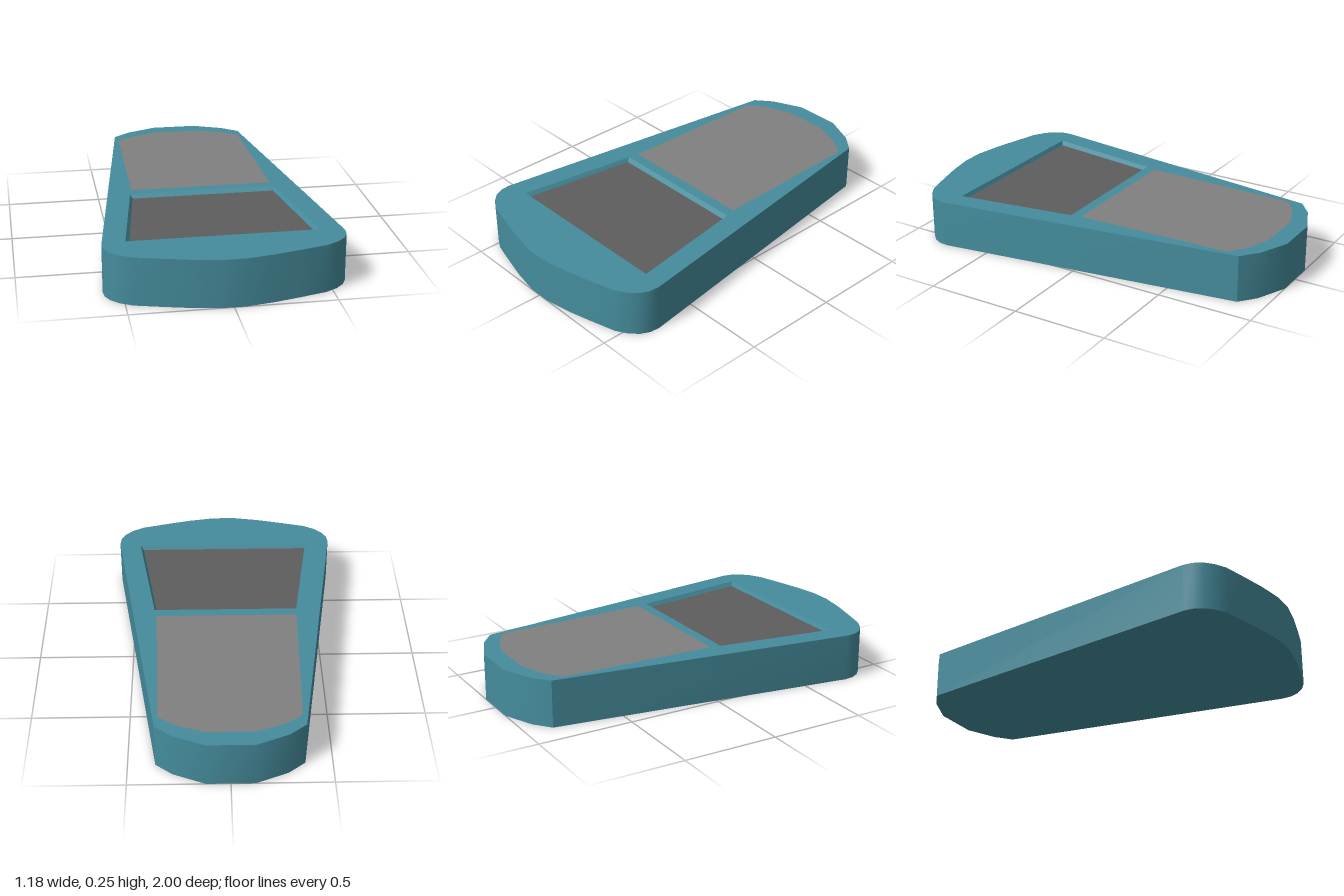
import * as THREE from 'three';
import { toCreasedNormals } from 'three/addons/utils/BufferGeometryUtils.js';

// Mirrors a right-hand half outline of [x, z] points (front to back) into a closed ring
function ring(half) {
  return [...half, ...half.map(([x, z]) => [-x, z]).reverse()];
}

// Band of quads between two rings at heights y0 and y1
function band(r0, y0, r1, y1) {
  const pos = [];
  r0.forEach((p, i) => {
    const j = (i + 1) % r0.length;
    const a = [p[0], y0, p[1]], b = [r0[j][0], y0, r0[j][1]];
    const c = [r1[j][0], y1, r1[j][1]], d = [r1[i][0], y1, r1[i][1]];
    pos.push(...a, ...b, ...c, ...a, ...c, ...d);
  });
  const g = new THREE.BufferGeometry();
  g.setAttribute('position', new THREE.Float32BufferAttribute(pos, 3));
  return toCreasedNormals(g, 0.6);
}

// Flat face at height y, facing up or down, with optional holes
function face(outline, y, holes = [], up = true) {
  const pts = r => r.map(([x, z]) => new THREE.Vector2(x, up ? -z : z));
  const shape = new THREE.Shape(pts(outline));
  shape.holes = holes.map(h => new THREE.Path(pts(h)));
  return new THREE.ShapeGeometry(shape).rotateX(up ? -Math.PI / 2 : Math.PI / 2).translate(0, y, 0);
}

export function createModel() {
  const group = new THREE.Group();
  const teal = new THREE.MeshStandardMaterial({ color: 0x458c9c });
  const grey = new THREE.MeshStandardMaterial({ color: 0x808080 });
  const dark = new THREE.MeshStandardMaterial({ color: 0x5e5e5e });
  const add = (name, geometry, material) => {
    const mesh = new THREE.Mesh(geometry, material);
    mesh.name = name;
    group.add(mesh);
  };

  const H = 0.245, floorY = 0.225;
  const body = ring([
    [0.06, 1], [0.2, 0.975], [0.33, 0.942], [0.465, 0.905], [0.525, 0.87], [0.565, 0.83],
    [0.587, 0.785], [0.592, 0.735], [0.365, -0.86], [0.28, -0.93], [0.12, -1],
  ]);
  const panel = ring([[0.37, 0.03], [0.35, -0.79], [0.26, -0.855], [0.12, -0.905]]);
  const recessTop = ring([[0.475, 0.71], [0.382, 0.085]]);
  const recessFloor = ring([[0.457, 0.7], [0.372, 0.102]]);

  // Tapered body
  add('bodySides', band(body, 0, body, H), teal);
  add('bodyBottom', face(body, 0, [], false), teal);
  add('bodyTop', face(body, H, [panel, recessTop]), teal);

  // Flush panel at the back
  add('flushPanel', face(panel, H), grey);

  // Shallow recess with sloping walls at the front
  add('recessWalls', band(recessTop, H, recessFloor, floorY), teal);
  add('recessFloor', face(recessFloor, floorY), dark);

  return group;
}
